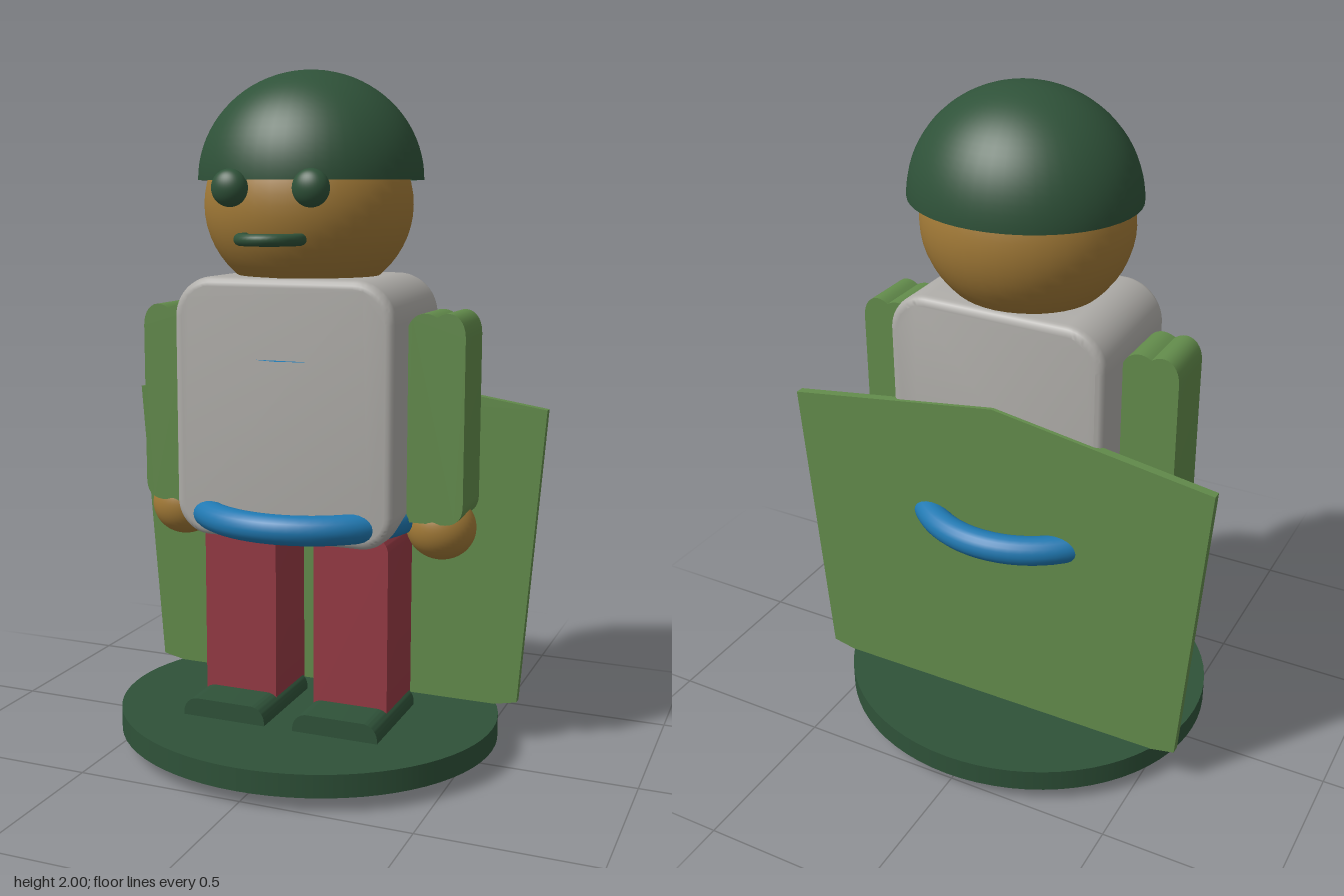
import * as THREE from 'three';
import { toCreasedNormals } from 'three/addons/utils/BufferGeometryUtils.js';

const mat = (name, color, side = THREE.FrontSide) => {
  const m = new THREE.MeshStandardMaterial({ color, side });
  m.name = name;
  return m;
};

// Rounded rectangle outline; rt and rb are the top and bottom corner radii
function roundedRect(x0, x1, y0, y1, rt, rb) {
  const s = new THREE.Shape();
  s.moveTo(x0 + rb, y0);
  s.lineTo(x1 - rb, y0);
  if (rb) s.absarc(x1 - rb, y0 + rb, rb, -Math.PI / 2, 0);
  s.lineTo(x1, y1 - rt);
  s.absarc(x1 - rt, y1 - rt, rt, 0, Math.PI / 2);
  s.lineTo(x0 + rt, y1);
  s.absarc(x0 + rt, y1 - rt, rt, Math.PI / 2, Math.PI);
  s.lineTo(x0, y0 + rb);
  if (rb) s.absarc(x0 + rb, y0 + rb, rb, Math.PI, Math.PI * 1.5);
  return s;
}

// Extrude an outline from z0 to z1, with an edge rounding that stays inside the outline
function extrude(shape, z0, z1, bevel = 0) {
  const g = new THREE.ExtrudeGeometry(shape, {
    depth: z1 - z0 - 2 * bevel, curveSegments: 10, bevelEnabled: bevel > 0,
    bevelSize: bevel, bevelThickness: bevel, bevelOffset: -bevel, bevelSegments: 4,
  });
  g.translate(0, 0, z0 + bevel);
  return toCreasedNormals(g, 0.7);
}

export function createModel() {
  const model = new THREE.Group();
  const darkGreen = mat('dark green', 0x2f5239, THREE.DoubleSide);
  const leafGreen = mat('leaf green', 0x628b4b);
  const grey = mat('light grey', 0xaeaca8);
  const blue = mat('blue', 0x2079b2, THREE.DoubleSide);
  const skin = mat('ochre skin', 0xa27a37);
  const red = mat('red', 0x963a44);

  const add = (name, geometry, material, x = 0, y = 0, z = 0) => {
    const m = new THREE.Mesh(geometry, material);
    m.name = name;
    m.position.set(x, y, z);
    model.add(m);
    return m;
  };
  const ball = (rx, ry, rz) => new THREE.SphereGeometry(1, 40, 28).scale(rx, ry, rz);

  // Oval stand
  add('base', new THREE.CylinderGeometry(1, 1, 0.067, 72).scale(0.578, 1, 0.53), darkGreen, 0, 0.082, 0);

  // Flat cape behind the body
  const capeShape = new THREE.Shape([
    [0, 0.005], [0.6, 0.13], [0.67, 1.03], [0, 1.13], [-0.67, 1.03], [-0.6, 0.13],
  ].map(([x, y]) => new THREE.Vector2(x, y)));
  add('cape', extrude(capeShape, -0.222, -0.195), leafGreen);

  // Body, belt ring and chest trim
  add('torso', extrude(roundedRect(-0.335, 0.335, 0.665, 1.42, 0.12, 0.1), -0.21, 0.21, 0.025), grey);
  const belt = new THREE.TorusGeometry(0.296, 0.0425, 20, 64).rotateX(Math.PI / 2).scale(1.05, 1, 1);
  add('belt', belt, blue, 0, 0.727, 0);
  add('chestTrim', new THREE.CircleGeometry(0.135, 12).rotateX(-Math.PI / 2), blue, 0, 1.19, 0.1);

  // Head, helmet and mouth
  add('head', ball(0.305, 0.275, 0.28), skin, 0, 1.62, 0);
  const dome = new THREE.SphereGeometry(1, 48, 20, 0, Math.PI * 2, 0, Math.PI / 2).scale(0.33, 0.31, 0.3);
  add('helmet', dome, darkGreen, 0, 1.69, -0.015);
  add('mouth', new THREE.TorusGeometry(0.083, 0.017, 14, 40).rotateX(Math.PI / 2), darkGreen, 0, 1.53, 0.275);

  // Arm outline with a shallow notch on the shoulder
  const arm = new THREE.Shape();
  arm.moveTo(0.335, 0.73);
  arm.lineTo(0.45, 0.73);
  arm.quadraticCurveTo(0.5, 0.735, 0.5, 0.79);
  arm.lineTo(0.5, 1.26);
  arm.bezierCurveTo(0.5, 1.315, 0.46, 1.345, 0.418, 1.315);
  arm.bezierCurveTo(0.385, 1.335, 0.35, 1.325, 0.335, 1.29);
  arm.closePath();

  // Paired parts
  for (const [side, s] of [['left', 1], ['right', -1]]) {
    const armMesh = add(side + 'Arm', extrude(arm, -0.085, 0.085), leafGreen);
    if (s < 0) armMesh.rotation.y = Math.PI;
    add(side + 'Hand', ball(0.102, 0.095, 0.09), skin, s * 0.413, 0.705, 0);
    add(side + 'Eye', ball(0.053, 0.052, 0.038), darkGreen, s * 0.12, 1.668, 0.277);
    add(side + 'Leg', extrude(roundedRect(-0.115, 0.115, 0.14, 0.685, 0.05, 0), -0.11, 0.11), red, s * 0.175, 0, 0);
    add(side + 'Foot', extrude(roundedRect(-0.13, 0.13, 0.1, 0.17, 0.045, 0), -0.1, 0.235), darkGreen, s * 0.175, 0, 0);
  }
  return model;
}
